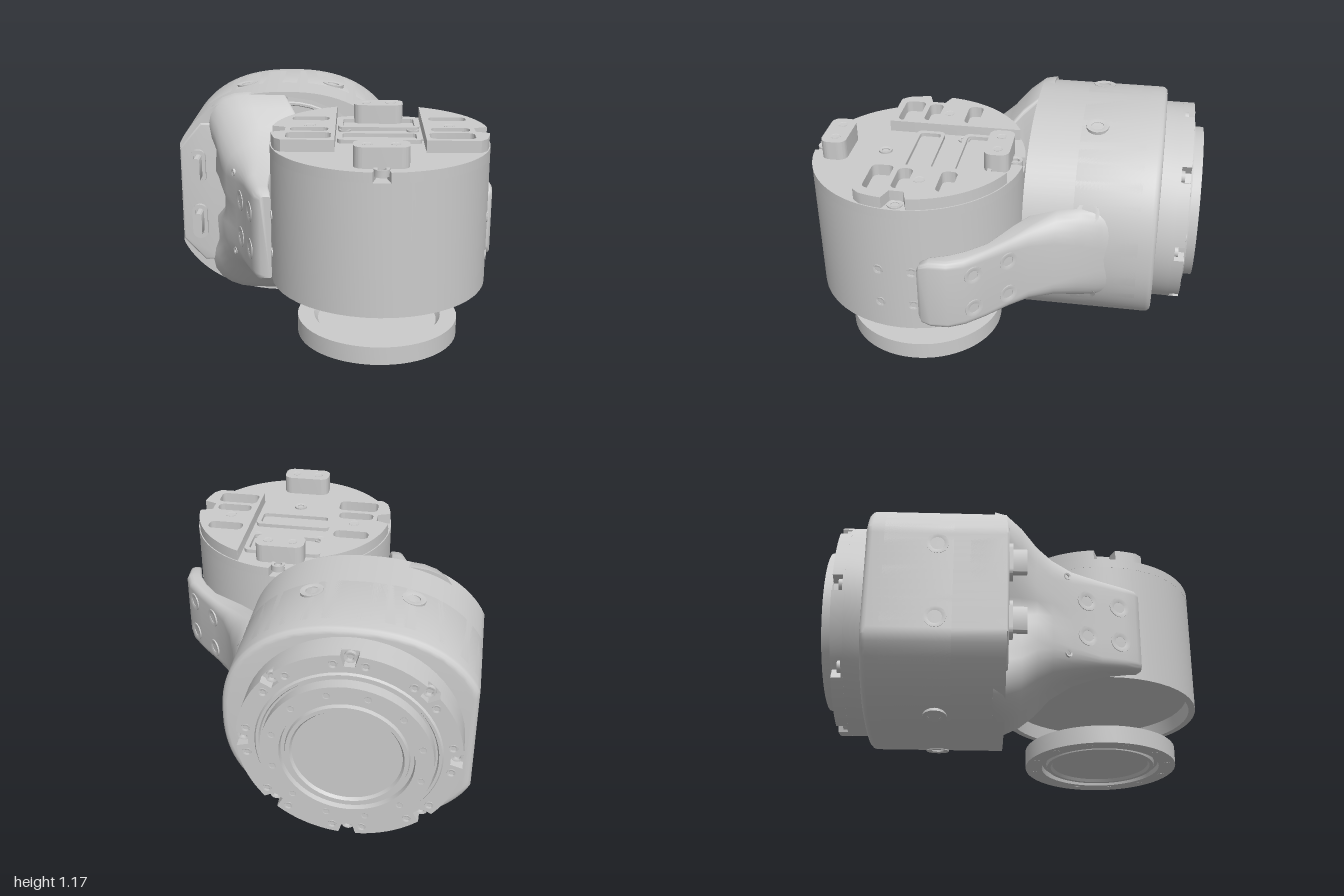
import * as THREE from 'three';
import { toCreasedNormals } from 'three/addons/utils/BufferGeometryUtils.js';

const grey = new THREE.MeshStandardMaterial({ color: 0xcccccc, side: THREE.DoubleSide });
const CY = 0.59, CX = -0.255; // axis of the rear housing
const MX = 0.25, MZ = 0.453, R = 0.546; // axis and radius of the upright motor

function add(parent, name, geo, x = 0, y = 0, z = 0, crease = 0.6) {
  const m = new THREE.Mesh(toCreasedNormals(geo, crease), grey);
  m.name = name;
  m.position.set(x, y, z);
  parent.add(m);
  return m;
}

const lathe = (pts, n = 48) => new THREE.LatheGeometry(pts.map(p => new THREE.Vector2(...p)), n);
const extrude = (shape, depth, bevel = 0) => new THREE.ExtrudeGeometry(shape, {
  depth: depth - 2 * bevel, bevelEnabled: bevel > 0, bevelSize: bevel, bevelThickness: bevel,
  bevelOffset: -bevel, bevelSegments: 3, curveSegments: 12,
}).translate(0, 0, bevel);
const polygon = pts => new THREE.Shape(pts.map(p => new THREE.Vector2(...p)));

function roundRect(x, y, w, h, r, Type = THREE.Shape) {
  const s = new Type(), a = w / 2 - r, b = h / 2 - r;
  s.absarc(x + a, y + b, r, 0, Math.PI / 2);
  s.absarc(x - a, y + b, r, Math.PI / 2, Math.PI);
  s.absarc(x - a, y - b, r, Math.PI, Math.PI * 1.5);
  s.absarc(x + a, y - b, r, Math.PI * 1.5, Math.PI * 2);
  s.closePath();
  return s;
}

// Disc outline with rectangular notches at the given angles
function notchedDisc(r, angles, half, depth) {
  const pts = [], n = 240;
  for (let i = 0; i < n; i++) {
    const a = i / n * Math.PI * 2;
    const inNotch = angles.some(b => Math.abs(Math.atan2(Math.sin(a - b), Math.cos(a - b))) < half);
    const q = inNotch ? r - depth : r;
    pts.push([q * Math.cos(a), q * Math.sin(a)]);
  }
  return polygon(pts);
}

// Screw hole seen as a raised lip around a sunken face
function hole(parent, name, pos, dir, r) {
  const geo = lathe([[0, -0.012], [r * 0.55, -0.012], [r * 0.55, 0.001], [r * 0.8, 0.004], [r, 0.004], [r, -0.03]], 16);
  const m = add(parent, name, geo, ...pos);
  m.quaternion.setFromUnitVectors(new THREE.Vector3(0, 1, 0), new THREE.Vector3(...dir).normalize());
}

// Rounded cross-section of an arm; pinch hollows the middle of the -x side
function ring([z, x0, x1, h, r0, r1, pinch = 0]) {
  const pts = [], w = x1 - x0, n = 7;
  [[1, -1, r1], [1, 1, r1], [-1, 1, r0], [-1, -1, r0]].forEach(([sx, sy, r], k) => {
    const rx = Math.min(r, w * 0.8), ry = Math.min(r, h * 0.9);
    for (let i = 0; i <= n; i++) {
      const a = (k - 1 + i / n) * Math.PI / 2;
      const x = (sx > 0 ? x1 - rx : x0 + rx) + rx * Math.cos(a);
      const y = sy * (h - ry) + ry * Math.sin(a);
      const shift = sx < 0 ? pinch * (1 - (y / h) ** 2) ** 2 * (x1 - x) / w : 0;
      pts.push([x + shift, CY + y, z]);
    }
    // Points down the middle of the -x side
    if (k === 2) for (const t of [0.5, 0.2, -0.2, -0.5]) {
      pts.push([x0 + pinch * (1 - t * t) ** 2, CY + t * (h - ry), z]);
    }
  });
  return pts;
}

function loft(sections) {
  const rings = sections.map(ring), n = rings[0].length, idx = [];
  for (let s = 0; s < rings.length - 1; s++) for (let i = 0; i < n; i++) {
    const a = s * n + i, b = s * n + (i + 1) % n;
    idx.push(a, b, b + n, a, b + n, a + n);
  }
  const e = (rings.length - 1) * n;
  for (let i = 1; i < n - 1; i++) idx.push(0, i + 1, i, e, e + i, e + i + 1);
  const g = new THREE.BufferGeometry();
  g.setAttribute('position', new THREE.Float32BufferAttribute(rings.flat(2), 3));
  g.setIndex(idx);
  return g;
}

// Output flange: outer face at local y = 0, pointing +y
function flange(name, depth) {
  const g = new THREE.Group();
  g.name = name;
  add(g, 'flangeDisc', lathe([[0, -depth + 0.03], [0.31, -depth + 0.03], [0.33, -depth], [0.415, -depth], [0.415, 0],
    [0.325, 0], [0.32, -0.025], [0.3, -0.025], [0.295, -0.005], [0.275, -0.005], [0.265, -0.02], [0, -0.02]], 64));
  for (let i = 0; i < 12; i++) {
    const a = (i + 0.5) * Math.PI / 6;
    hole(g, 'flangeHole', [0.37 * Math.cos(a), -0.003, 0.37 * Math.sin(a)], [0, 1, 0], 0.018);
  }
  return g;
}

function rearHousing() {
  const g = new THREE.Group();
  g.name = 'rearHousing';
  // Softly squared round outline with a flat outer side
  const power = v => Math.sign(v) * Math.abs(v) ** 0.86;
  const outline = () => polygon(Array.from({ length: 96 }, (_, i) => {
    const a = i / 96 * Math.PI * 2;
    return [Math.max(-0.595, 0.655 * power(Math.cos(a))), 0.587 * power(Math.sin(a))];
  }));
  add(g, 'housingBack', extrude(outline(), 0.46, 0.03), CX, CY, -0.79);
  const shell = outline();
  shell.holes.push(new THREE.Path().absarc(0, 0, 0.56, 0, Math.PI * 2, true));
  add(g, 'housingShell', extrude(shell, 0.6), CX, CY, -0.7);
  add(g, 'innerRing', new THREE.TorusGeometry(0.47, 0.012, 6, 48), CX, CY, -0.33);
  // Notched motor plate and output flange on the back
  const angles = Array.from({ length: 8 }, (_, i) => i * Math.PI / 4 + Math.PI / 2);
  add(g, 'motorPlateBase', new THREE.CylinderGeometry(R, R, 0.12, 64).rotateX(Math.PI / 2), CX, CY, -0.83);
  add(g, 'motorPlateRim', extrude(notchedDisc(R, angles, 0.07, 0.06), 0.06), CX, CY, -0.94);
  for (const b of angles) for (const d of [-0.15, 0, 0.15]) {
    const a = b + d, q = d ? 0.5 : 0.515;
    hole(g, 'rimScrew', [CX + q * Math.cos(a), CY + q * Math.sin(a), d ? -0.94 : -0.905], [0, 0, -1], d ? 0.022 : 0.03);
  }
  add(g, 'flangeCollar', new THREE.TorusGeometry(0.44, 0.014, 6, 64), CX, CY, -0.94);
  const f = flange('rearFlange', 0.1);
  f.rotation.x = -Math.PI / 2;
  f.position.set(CX, CY, -1);
  g.add(f);
  // Screw holes round the shell
  for (const s of [-1, 1]) {
    for (const dx of [-0.245, 0.255]) hole(g, 'shellHole', [CX + dx, CY + s * 0.562, -0.44], [dx * 0.6, s, 0], 0.06);
    hole(g, 'shellHole', [0.36, CY + s * 0.25, -0.435], [0.87, s * 0.5, 0], 0.06);
    hole(g, 'shellHole', [-0.848, CY + s * 0.2, -0.44], [-1, 0, 0], 0.055);
  }
  // Connector panel with two sockets
  add(g, 'connectorPanel', extrude(polygon([[-0.85, 0.32], [-0.73, 0.19], [-0.63, 0.19], [-0.57, 0.4], [-0.57, 0.78],
    [-0.63, 1], [-0.73, 1], [-0.85, 0.86]]), 0.2, 0.012), 0, 0, -0.29);
  for (const y of [0.75, 0.43]) {
    const socket = roundRect(0, 0, 0.085, 0.2, 0.04);
    socket.holes.push(roundRect(0, 0, 0.05, 0.16, 0.024, THREE.Path));
    add(g, 'socketFrame', extrude(socket, 0.04), -0.75, y, -0.11);
    add(g, 'socketTongue', extrude(roundRect(0, 0, 0.04, 0.14, 0.018), 0.11), -0.75, y, -0.11);
  }
  return g;
}

function arms() {
  const g = new THREE.Group();
  g.name = 'arms';
  add(g, 'rightArm', loft([
    [-0.16, -0.78, -0.25, 0.572, 0.3, 0.02, 0.19], [-0.1, -0.757, -0.25, 0.57, 0.3, 0.02, 0.18],
    [-0.02, -0.695, -0.2, 0.515, 0.27, 0.03, 0.12], [0.06, -0.63, -0.145, 0.43, 0.24, 0.03, 0.05],
    [0.14, -0.57, -0.21, 0.36, 0.18, 0.03, 0.01], [0.25, -0.5, -0.27, 0.305, 0.12, 0.02], [0.4, -0.44, -0.305, 0.262, 0.06, 0.01],
    [0.53, -0.395, -0.303, 0.245, 0.05, 0.01], [0.59, -0.37, -0.29, 0.235, 0.04, 0.01], [0.615, -0.34, -0.285, 0.215, 0.02, 0.01],
  ]), 0, 0, 0, 0.8);
  add(g, 'leftArm', loft([
    [-0.62, 0.3, 0.385, 0.24, 0.02, 0.2], [-0.5, 0.3, 0.405, 0.27, 0.02, 0.2], [-0.4, 0.3, 0.43, 0.275, 0.02, 0.18],
    [-0.28, 0.31, 0.475, 0.255, 0.02, 0.13], [-0.16, 0.34, 0.54, 0.22, 0.02, 0.08], [-0.07, 0.44, 0.62, 0.203, 0.02, 0.05],
    [0.03, 0.62, 0.72, 0.2, 0.01, 0.04], [0.12, 0.7, 0.8, 0.2, 0.01, 0.04], [0.2, 0.75, 0.838, 0.2, 0.01, 0.035],
    [0.29, 0.78, 0.842, 0.197, 0.01, 0.03], [0.335, 0.79, 0.838, 0.175, 0.01, 0.02], [0.35, 0.795, 0.825, 0.14, 0.01, 0.01],
  ]), 0, 0, 0, 0.8);
  for (const y of [0.49, 0.69]) {
    hole(g, 'armHole', [0.767, y, 0.08], [1, 0, -0.85], 0.05);
    hole(g, 'armHole', [0.624, y, -0.07], [1, 0, -0.85], 0.05);
    hole(g, 'armHole', [-0.47, y, 0.325], [-1, 0, 0.4], 0.055);
    hole(g, 'armHole', [-0.405, y, 0.5], [-1, 0, 0.35], 0.055);
  }
  for (const y of [0.37, 0.81]) hole(g, 'pinHole', [-0.515, y, 0.22], [-1, 0, 0.55], 0.02);
  return g;
}

function frontMotor() {
  const g = new THREE.Group();
  g.name = 'frontMotor';
  g.position.set(MX, 0, MZ);
  const flat = (name, shape, depth, top) => add(g, name, extrude(shape, depth).rotateX(Math.PI / 2), 0, top, 0);
  // Can with a shallow open underside and a notched top rim
  add(g, 'motorCan', lathe([[0, 0.42], [0.5, 0.42], [0.51, 0.34], [R, 0.34], [R, 1], [0, 1]]));
  const quarters = [0, 1, 2, 3].map(i => i * Math.PI / 2);
  flat('motorTop', notchedDisc(R, quarters.filter((_, i) => i % 2), 0.075, 0.08), 0.05, 1.05);
  for (const a of quarters) hole(g, 'topScrew', [0.5 * Math.cos(a), 1.053, 0.5 * Math.sin(a)], [0, 1, 0], 0.038);
  // Raised side plates with slots and a notch in the rim
  for (const s of [-1, 1]) {
    const pts = [[s * 0.22, 0.21], [s * 0.22, -0.49]];
    for (let i = 0; i <= 40; i++) {
      const a = THREE.MathUtils.lerp(-1.148, 0.33, i / 40), q = Math.abs(a) < 0.08 ? 0.47 : 0.54;
      pts.push([s * q * Math.cos(a), q * Math.sin(a)]);
    }
    pts.push([s * 0.48, 0.21]);
    const plate = polygon(pts);
    for (const [z, w, h] of [[-0.22, 0.19, 0.08], [0, 0.19, 0.075], [0.12, 0.22, 0.11]])
      plate.holes.push(roundRect(s * 0.35, z, w, h, 0.03, THREE.Path));
    flat('sidePlate', plate, 0.06, 1.11);
    hole(g, 'plateScrew', [s * 0.175, 1.055, -0.2], [0, 1, 0], 0.032);
    hole(g, 'plateSlot', [s * 0.35, 1.107, -0.085], [0, 1, 0], 0.03);
  }
  // Low frames in the middle
  for (const [z, h] of [[-0.02, 0.15], [-0.3, 0.2]]) {
    const frame = roundRect(0, z, 0.42, h, 0.03);
    frame.holes.push(roundRect(0, z, 0.37, h - 0.04, 0.02, THREE.Path));
    flat('centreFrame', frame, 0.03, 1.07);
  }
  hole(g, 'centreScrew', [0, 1.055, 0.18], [0, 1, 0], 0.035);
  // Mounting lugs front and back
  for (const z of [-0.42, 0.42]) {
    flat('mountingLug', roundRect(0, z, 0.26, 0.13, 0.045), 0.1, 1.15);
    for (const x of [-0.065, 0.065]) hole(g, 'lugHole', [x, 1.147, z], [0, 1, 0], 0.026);
  }
  // Small side holes
  for (const s of [-1, 1]) for (const z of [0.1, -0.07]) for (const y of [0.49, 0.69]) {
    const x = s * Math.sqrt(R * R - z * z);
    hole(g, 'sideHole', [x, y, z], [x, 0, z], 0.026);
  }
  const f = flange('lowerFlange', 0.095);
  f.rotation.x = Math.PI;
  f.position.y = 0.027;
  g.add(f);
  return g;
}

export function createModel() {
  const model = new THREE.Group();
  model.name = 'twoAxisJoint';
  model.add(rearHousing(), arms(), frontMotor());
  return model;
}
